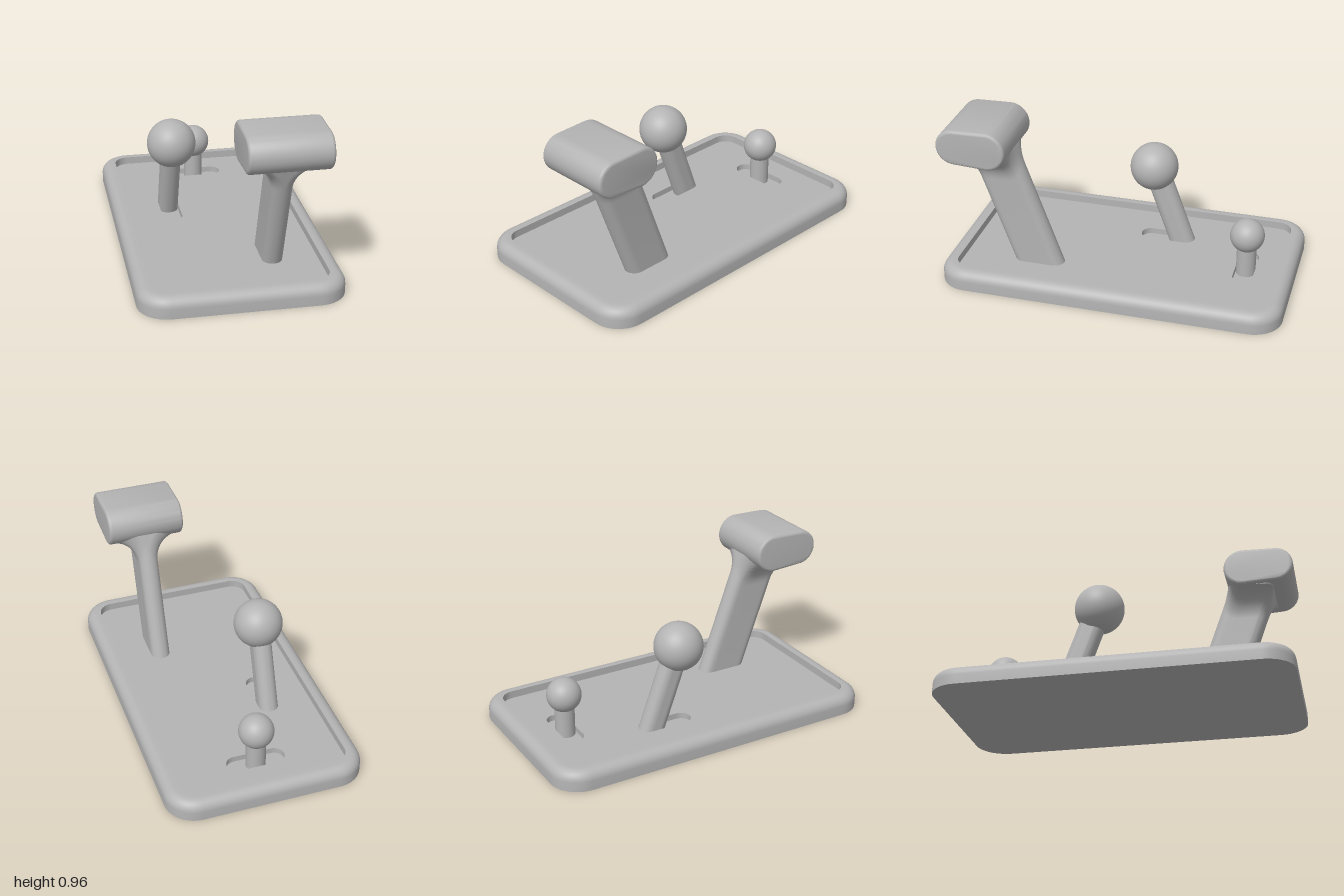
import * as THREE from 'three';
import { toCreasedNormals } from 'three/addons/utils/BufferGeometryUtils.js';

const LEAN = Math.tan(THREE.MathUtils.degToRad(20));
const FLOOR = 0.07, SLOT_FLOOR = 0.035;

// Rounded rectangle outline, counter-clockwise, with points along its sides
function outline(hx, hy, r, cx = 0, cy = 0) {
  const corners = [[1, 1], [-1, 1], [-1, -1], [1, -1]].map(([sx, sy], k) => {
    const arc = [];
    for (let i = 0; i <= 10; i++) {
      const a = (k + i / 10) * Math.PI / 2;
      arc.push(new THREE.Vector2(
        cx + sx * (hx - r) + r * Math.cos(a), cy + sy * (hy - r) + r * Math.sin(a)));
    }
    return arc;
  });
  const pts = [];
  corners.forEach((arc, k) => {
    pts.push(...arc);
    const a = arc[10], b = corners[(k + 1) % 4][0];
    for (let i = 1; i < 8; i++) pts.push(a.clone().lerp(b, i / 8));
  });
  return pts;
}

// Skin between rings of equal length
function loft(rings) {
  const n = rings[0].length, pos = [], index = [];
  rings.forEach(ring => ring.forEach(p => pos.push(p.x, p.y, p.z)));
  for (let i = 0; i < rings.length - 1; i++) {
    for (let j = 0; j < n; j++) {
      const a = i * n + j, b = i * n + (j + 1) % n;
      index.push(a, b, b + n, a, b + n, a + n);
    }
  }
  const g = new THREE.BufferGeometry();
  g.setAttribute('position', new THREE.Float32BufferAttribute(pos, 3));
  g.setIndex(index);
  return toCreasedNormals(g, 0.6);
}

// Horizontal ring from an outline
const ringAt = (pts, y) => pts.map(p => new THREE.Vector3(p.x, y, -p.y));

// Ring of a lever that leans towards the front, with z0 its centre at y = 0.115
function leverRing(x, z0, hx, hz, y, lift = () => 0) {
  return outline(hx, hz, 0.057).map(p => {
    const h = y + lift(-p.y);
    return new THREE.Vector3(x + p.x, h, z0 + (h - 0.115) * LEAN - p.y);
  });
}

export function createModel() {
  const group = new THREE.Group();
  const grey = new THREE.MeshStandardMaterial({ color: 0xb4b4b4 });
  grey.name = 'grey';
  const add = (name, geometry, x = 0, y = 0, z = 0) => {
    const mesh = new THREE.Mesh(geometry, grey);
    mesh.name = name;
    mesh.position.set(x, y, z);
    group.add(mesh);
    return mesh;
  };

  // Tray: closed profile of inset and height, swept round the rounded rectangle
  const profile = [[0, 0]];
  for (let i = 0; i <= 8; i++) {
    const a = i / 8 * Math.PI / 2;
    profile.push([0.06 * (1 - Math.cos(a)), 0.055 + 0.06 * Math.sin(a)]);
  }
  profile.push([0.085, 0.115], [0.085, SLOT_FLOOR]);
  const rings = profile.map(([d, y]) => ringAt(outline(0.57 - d, 1 - d, 0.17 - d), y));
  const centre = y => rings[0].map(() => new THREE.Vector3(0, y, 0));
  add('tray', loft([centre(0), ...rings, centre(SLOT_FLOOR)]));

  // Floor panel with two slots
  const panel = new THREE.Shape(outline(0.485, 0.915, 0.085));
  panel.holes.push(
    new THREE.Path(outline(0.17, 0.058, 0.058, 0, 0.715).reverse()),
    new THREE.Path(outline(0.058, 0.165, 0.058, -0.23, 0.193).reverse()));
  const panelGeometry = new THREE.ExtrudeGeometry(panel,
    { depth: FLOOR - SLOT_FLOOR, bevelEnabled: false });
  panelGeometry.rotateX(-Math.PI / 2);
  add('floorPanel', toCreasedNormals(panelGeometry, 0.6), 0, SLOT_FLOOR, 0);

  // Short upright lever
  add('shortLever', new THREE.CylinderGeometry(0.057, 0.057, 0.25, 40, 1, true), 0, 0.16, -0.715);
  add('shortLeverKnob', new THREE.SphereGeometry(0.1, 48, 32), 0, 0.285, -0.715);

  // Middle leaning lever
  add('middleLever', loft([SLOT_FLOOR, 0.5].map(y => leverRing(-0.23, -0.26, 0.057, 0.08, y))));
  add('middleLeverKnob', new THREE.SphereGeometry(0.142, 56, 36), -0.23, 0.535, -0.102);

  // Tall lever, flaring sideways to meet the underside of its handle
  const lift = z => z < 0 ? 0.1 * (-z / 0.148) ** 3 : 0;
  const tall = [leverRing(0.228, 0.488, 0.057, 0.148, SLOT_FLOOR)];
  for (let i = 0; i <= 12; i++) {
    const a = i / 12 * Math.PI / 2;
    tall.push(leverRing(0.228, 0.488, 0.057 + 0.145 * (1 - Math.cos(a)), 0.148,
      0.595 + 0.145 * Math.sin(a), lift));
  }
  tall.push(leverRing(0.228, 0.488, 0.202, 0.148, 0.755, lift));
  add('tallLever', loft(tall));

  // Handle: two tangent rounds, the rear one larger, with softened ends
  const bevel = 0.018, rFront = 0.105, rBack = 0.113, span = 0.188;
  const tilt = Math.acos((rFront - rBack) / span);
  const side = new THREE.Shape();
  side.absarc(-0.885, 0.853, rFront, Math.PI - (Math.PI - tilt), Math.PI * 2 - tilt, false);
  side.curves.length = 0;
  const pts = [];
  const arc = (cx, cy, r, from, to) => {
    for (let i = 0; i <= 24; i++) {
      const a = from + (to - from) * i / 24;
      pts.push(new THREE.Vector2(cx + r * Math.cos(a), cy + r * Math.sin(a)));
    }
  };
  arc(-0.885, 0.853, rFront, tilt, Math.PI * 2 - tilt);
  arc(-0.697, 0.85, rBack, -tilt, tilt);
  const handle = new THREE.ExtrudeGeometry(new THREE.Shape(pts), {
    depth: 0.455 - 2 * bevel, bevelThickness: bevel, bevelSize: bevel,
    bevelOffset: -bevel, bevelSegments: 5,
  });
  handle.rotateY(Math.PI / 2);
  add('handle', toCreasedNormals(handle, 0.6), bevel, 0, 0);

  return group;
}
